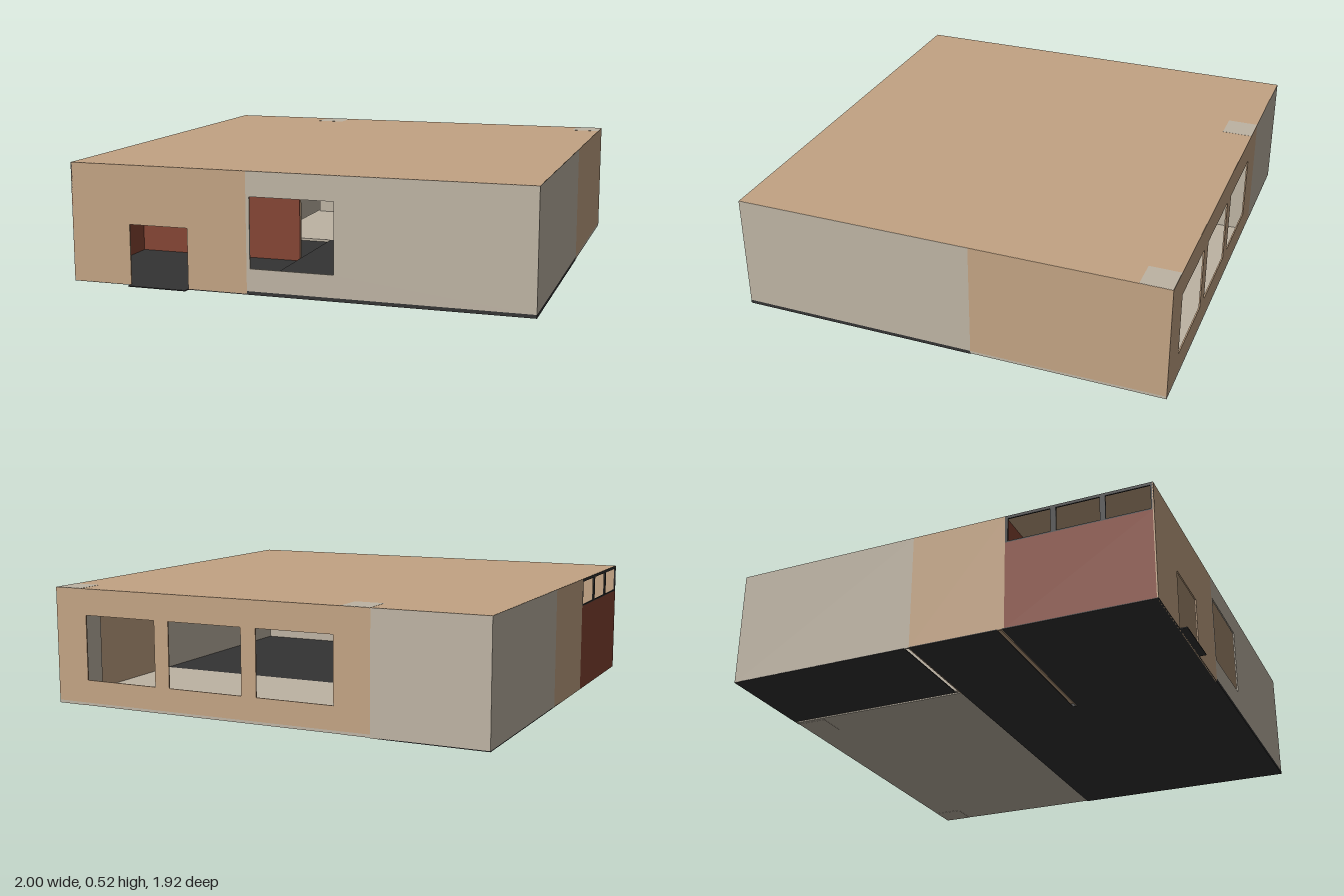
import * as THREE from 'three';

const flat = (name, color) => {
  const m = new THREE.MeshStandardMaterial({ color });
  m.name = name;
  return m;
};

export function createModel() {
  const house = new THREE.Group();
  house.name = 'house';
  const tan = flat('tan plaster', 0xc2a383);
  const grey = flat('warm grey', 0xbdb3a3);
  const red = flat('brick red', 0x844433);
  const dark = flat('charcoal', 0x333333);

  const H = 0.515;
  const T = 0.006;
  const xMin = -1, xMax = 1, zBack = -0.96, zFront = 0.93;
  const zMid = -0.12, xBath = -0.52, xHall = -0.2, zHall = 0.3;

  function add(name, geometry, material) {
    const mesh = new THREE.Mesh(geometry, material);
    mesh.name = name;
    house.add(mesh);
    return mesh;
  }

  // Box given by its two opposite corners
  function block(name, material, [x0, y0, z0], [x1, y1, z1]) {
    const g = new THREE.BoxGeometry(x1 - x0, y1 - y0, z1 - z0);
    g.translate((x0 + x1) / 2, (y0 + y1) / 2, (z0 + z1) / 2);
    return add(name, g, material);
  }

  // Upright panel with rectangular openings [u0, u1, y0, y1]
  function panel(u0, u1, y0, y1, openings, thickness) {
    const rect = (path, a, b, c, d) =>
      path.moveTo(a, c).lineTo(b, c).lineTo(b, d).lineTo(a, d).closePath();
    const shape = new THREE.Shape();
    rect(shape, u0, u1, y0, y1);
    for (const [a, b, c, d] of openings) {
      const hole = new THREE.Path();
      rect(hole, a, b, c, d);
      shape.holes.push(hole);
    }
    return new THREE.ExtrudeGeometry(shape, { depth: thickness, bevelEnabled: false });
  }

  // Wall running along x, filling z .. z + thickness
  function wallX(name, material, z, x0, x1, y0, openings = [], thickness = T) {
    add(name, panel(x0, x1, y0, H, openings, thickness), material).position.z = z;
  }

  // Wall running along z, filling x - thickness .. x
  function wallZ(name, material, x, z0, z1, y0, y1 = H, openings = [], thickness = T) {
    const g = panel(z0, z1, y0, y1, openings, thickness).rotateY(-Math.PI / 2);
    add(name, g, material).position.x = x;
  }

  // Floors, with narrow gaps beneath the inner walls
  const slab = 0.015, thin = 0.004;
  block('livingFloor', dark, [xHall, 0, zMid], [xMax, slab, zFront]);
  block('bedroomFloor', grey, [xBath, 0.003, zBack], [xMax, slab, zMid]);
  block('entryFloor', dark, [xMin, 0, zHall - 0.01], [xHall, thin, zFront]);
  block('hallFloor', dark, [xMin, 0, zMid], [xHall, thin, zHall - 0.03]);
  block('bathFloor', dark, [xMin, 0, zBack], [xBath - 0.02, thin, zMid - 0.02]);
  block('doorStep', dark, [-0.73, 0, zFront], [-0.465, thin, 0.96]);

  // Front walls
  wallX('entryFrontWall', tan, zFront - T, xMin, xHall, 0, [[-0.73, -0.465, 0.003, 0.262]]);
  wallX('livingFrontWall', grey, zFront - T, xHall, xMax, slab, [[-0.185, 0.178, 0.11, 0.41]]);

  // Back walls, three large windows in a row
  const backWindows = [0, 1, 2].map(i => {
    const x = -0.345 + i * 0.42;
    return [x, x + 0.35, 0.115, 0.4];
  });
  wallX('bedroomBackWall', tan, zBack, -0.505, xMax, slab, backWindows);
  wallX('bathBackWall', grey, zBack, xMin, -0.505, 0);

  // Walls on the +x side
  wallZ('livingSideWall', grey, xMax, zMid, zFront, slab);
  wallZ('bedroomSideWall', tan, xMax, zBack, zMid, slab);

  // Walls on the -x side
  wallZ('bathSideWall', grey, xMin + T, zBack, zMid, 0);
  wallZ('hallSideWall', tan, xMin + T, zMid, zHall, 0);
  wallZ('entrySideWall', red, xMin + T, zHall, zFront, 0, 0.39);

  // High strip of three windows above the red wall
  const panes = [0, 1, 2].map(i => [0.312 + i * 0.21, 0.498 + i * 0.21, 0.396, 0.502]);
  wallZ('highWindowFrame', dark, xMin + T, zHall, zFront, 0.39, H, panes);

  // Inner walls
  wallX('hallWall', tan, zHall - 0.015, xMin + T, xHall, 0.001, [], 0.015);
  wallX('entryWall', red, zHall, xMin + T, xHall, 0.001);
  wallX('bathFrontWall', tan, zMid - 0.005, xMin + T, xBath, 0.001,
    [[-0.87, -0.68, 0.005, 0.4]], 0.015);
  wallZ('bathInnerWall', grey, xBath - 0.015, zBack + T, zMid, 0.001, H, [], 0.015);

  // Corner columns, flush with the roof
  for (const x of [-0.505, 0.87]) {
    block('column', grey, [x, 0.002, zBack + 0.001], [x + 0.13 - 0.001, H + 0.001, -0.825]);
  }

  // Roof
  block('roof', tan, [xMin + 0.001, H - 0.008, zBack + 0.001], [xMax - 0.001, H + 0.0005, zFront - 0.001]);

  return house;
}
